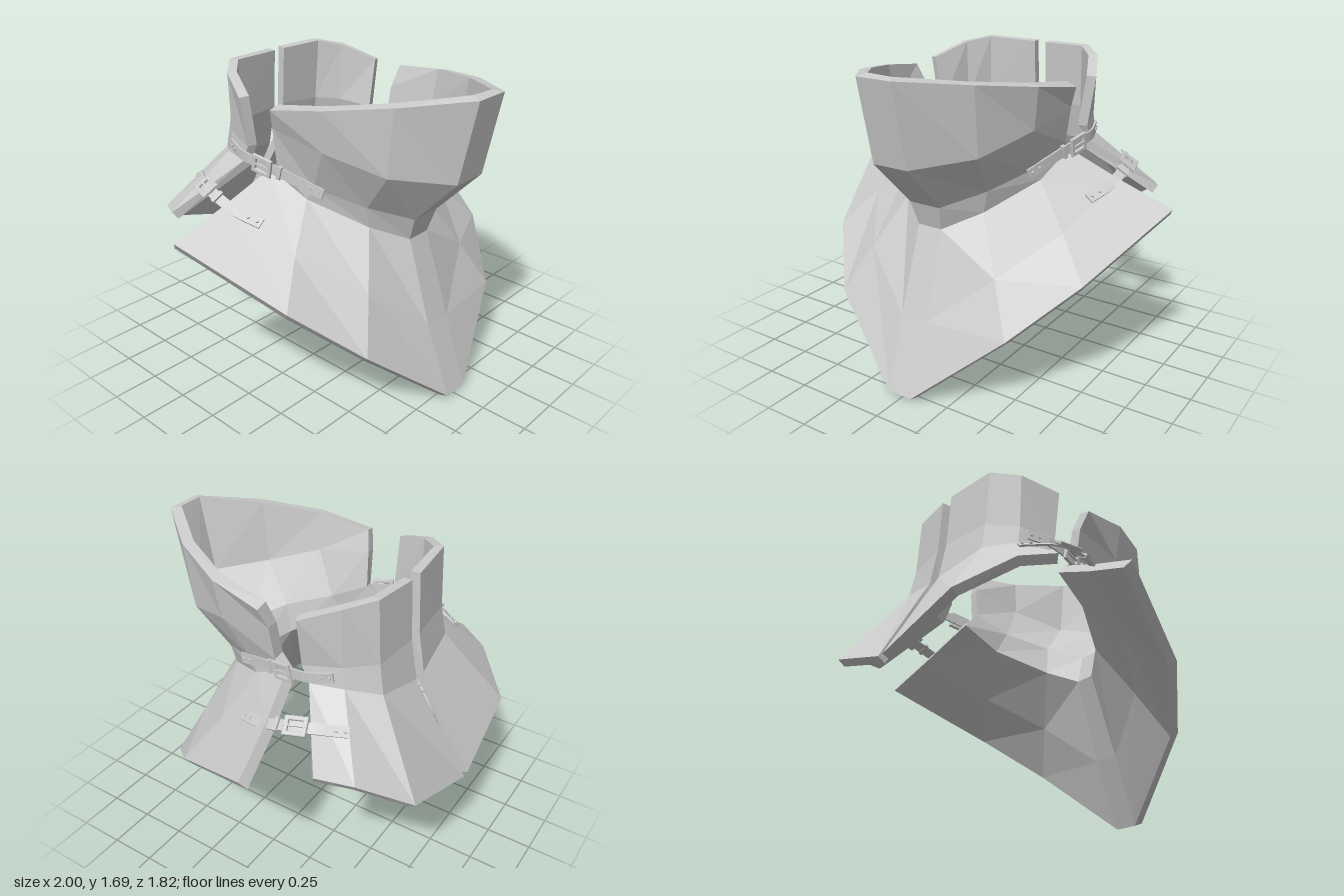
import * as THREE from 'three';

const V = (p) => new THREE.Vector3(...p);
const metal = new THREE.MeshStandardMaterial({ color: 0xcccccc, flatShading: true });

function mesh(geometry, name) {
  const m = new THREE.Mesh(geometry, metal);
  m.name = name;
  return m;
}

// Thick plate from rings (top to bottom) of points running left to right as seen from outside
function plate(rings, thickness, name) {
  const R = rings.length, C = rings[0].length, N = R * C;
  const outer = rings.flat(2), faces = [], edge = [];
  for (let r = 0; r < R - 1; r++) for (let c = 0; c < C - 1; c++) {
    const a = r * C + c, b = a + 1, d = a + C, e = d + 1;
    faces.push(a, d, e, a, e, b);
  }
  const skin = new THREE.BufferGeometry();
  skin.setAttribute('position', new THREE.Float32BufferAttribute(outer, 3));
  skin.setIndex(faces);
  skin.computeVertexNormals();
  const n = skin.attributes.normal.array;
  const inner = outer.map((v, i) => v - n[i] * thickness);
  const index = [...faces];
  for (let i = 0; i < faces.length; i += 3) index.push(faces[i] + N, faces[i + 2] + N, faces[i + 1] + N);
  // walls around the border
  for (let c = 0; c < C - 1; c++) edge.push(c);
  for (let r = 0; r < R - 1; r++) edge.push(r * C + C - 1);
  for (let c = C - 1; c > 0; c--) edge.push((R - 1) * C + c);
  for (let r = R - 1; r > 0; r--) edge.push(r * C);
  edge.forEach((a, i) => {
    const b = edge[(i + 1) % edge.length];
    index.push(a, b, b + N, a, b + N, a + N);
  });
  const g = new THREE.BufferGeometry();
  g.setAttribute('position', new THREE.Float32BufferAttribute([...outer, ...inner], 3));
  g.setIndex(index);
  const flat = g.toNonIndexed();
  flat.computeVertexNormals();
  return mesh(flat, name);
}

const flip = ([x, y, z]) => [-x, y, z];

// Front half: from the centre to the side, rim down to the chest edge
const frontRings = [
  [[0.1, 1.675, 0.91], [0.34, 1.635, 0.62], [0.49, 1.59, 0.31], [0.53, 1.54, 0.01]],
  [[0.1, 1.245, 0.82], [0.33, 1.28, 0.58], [0.46, 1.37, 0.29], [0.49, 1.43, -0.02]],
  [[0.09, 0.985, 0.57], [0.27, 1.06, 0.41], [0.4, 1.14, 0.17], [0.46, 1.24, -0.03]],
  [[0.07, 0.855, 0.53], [0.24, 0.94, 0.4], [0.41, 1.07, 0.13], [0.45, 1.19, -0.09]],
  [[0.08, 0.4, 0.68], [0.39, 0.66, 0.53], [0.6, 0.85, 0.23], [0.72, 1.05, -0.15]],
  [[0.07, 0.02, 0.82], [0.52, 0.4, 0.64], [0.78, 0.65, 0.35], [1.0, 0.925, -0.2]],
];

// Back half: from the gap to the side
const backRings = [
  [[0.04, 1.655, -0.55], [0.32, 1.66, -0.52], [0.44, 1.63, -0.4], [0.53, 1.555, -0.21]],
  [[0.04, 1.33, -0.57], [0.32, 1.32, -0.54], [0.43, 1.31, -0.4], [0.49, 1.29, -0.21]],
  [[0.04, 1.11, -0.61], [0.33, 1.16, -0.57], [0.44, 1.2, -0.42], [0.49, 1.2, -0.25]],
  [[0.02, 0.575, -0.91], [0.51, 0.74, -0.87], [0.71, 0.9, -0.65], [0.8, 0.94, -0.48]],
];

// Strap paths on the +x side, with the outward direction at each point
const straps = {
  neckStrap: {
    path: [[0.395, 1.12, 0.23], [0.46, 1.19, 0.01], [0.49, 1.22, -0.12], [0.5, 1.24, -0.25], [0.46, 1.26, -0.37]],
    out: [[0.9, 0, 0.42], [0.97, 0, 0.2], [1, 0, 0], [0.97, 0, -0.2], [0.85, 0, -0.5]], buckleAt: 0.56,
  },
  shoulderStrap: {
    path: [[0.64, 0.985, 0.04], [0.69, 1.03, -0.1], [0.7, 1.08, -0.24], [0.67, 1.095, -0.36], [0.57, 1.075, -0.53]],
    out: [[0.5, 0.75, 0.45], [0.55, 0.8, 0.2], [0.58, 0.81, 0], [0.56, 0.8, -0.2], [0.55, 0.76, -0.34]], buckleAt: 0.6,
  },
};

function buildStrap(name, { path, out, buckleAt }, s) {
  const group = new THREE.Group();
  group.name = name;
  const side = (p) => V([p[0] * s, p[1], p[2]]);
  const curve = new THREE.CatmullRomCurve3(path.map(side));
  const outs = new THREE.CatmullRomCurve3(out.map(side));
  // across / along / outward frame at a point of the strap
  const frame = (u) => {
    const t = curve.getUtoTmapping(u), along = curve.getTangent(t), across = new THREE.Vector3();
    across.crossVectors(along, outs.getPoint(t)).normalize();
    const up = new THREE.Vector3().crossVectors(across, along);
    return new THREE.Matrix4().makeBasis(across, along, up).setPosition(curve.getPoint(t));
  };
  const band = new THREE.BoxGeometry(0.055, 1, 0.01, 1, 16, 1);
  const p = band.attributes.position, v = new THREE.Vector3();
  for (let i = 0; i < p.count; i++) {
    const u = p.getY(i) + 0.5;
    v.set(p.getX(i), 0, p.getZ(i)).applyMatrix4(frame(u));
    p.setXYZ(i, v.x, v.y, v.z);
  }
  band.computeVertexNormals();
  group.add(mesh(band, 'band'));

  const place = (geometry, u, lift, label) => {
    geometry.translate(0, 0, lift).applyMatrix4(frame(u));
    group.add(mesh(geometry, label));
  };
  // buckle frame, prong and keeper loop
  const rect = (Type, w, h) => new Type([[-w, -h], [w, -h], [w, h], [-w, h]].map((q) => new THREE.Vector2(...q)));
  const shape = rect(THREE.Shape, 0.046, 0.056);
  shape.holes.push(rect(THREE.Path, 0.03, 0.04));
  place(new THREE.ExtrudeGeometry(shape, { depth: 0.012, bevelEnabled: true, bevelSize: 0.003, bevelThickness: 0.003, bevelSegments: 1 }),
    buckleAt, 0.006, 'buckleFrame');
  place(new THREE.BoxGeometry(0.01, 0.1, 0.01), buckleAt, 0.018, 'bucklePin');
  place(new THREE.BoxGeometry(0.07, 0.022, 0.026), buckleAt - 0.16, 0.004, 'keeper');
  // rivets at both ends
  for (const u of [0.04, 0.12, 0.9, 0.97])
    place(new THREE.CylinderGeometry(0.007, 0.009, 0.01, 8).rotateX(Math.PI / 2), u, 0.008, 'rivet');
  return group;
}

export function createModel() {
  const model = new THREE.Group();
  model.name = 'neckArmour';
  model.add(plate(frontRings.map((r) => [...r.map(flip).reverse(), ...r]), 0.06, 'frontPlate'));

  // the gap between the back plates leans slightly to one side
  const lean = (dx) => backRings.map((r, i) => r.map(([x, y, z], c) => [c || i === 3 ? x : x + dx, y, z]));
  model.add(plate(lean(0.025).map((r) => [...r].reverse()), 0.05, 'leftBackPlate'));
  model.add(plate(lean(-0.025).map((r) => r.map(flip)), 0.05, 'rightBackPlate'));

  for (const [name, spec] of Object.entries(straps))
    for (const s of [1, -1]) model.add(buildStrap((s > 0 ? 'left ' : 'right ') + name, spec, s));
  return model;
}
